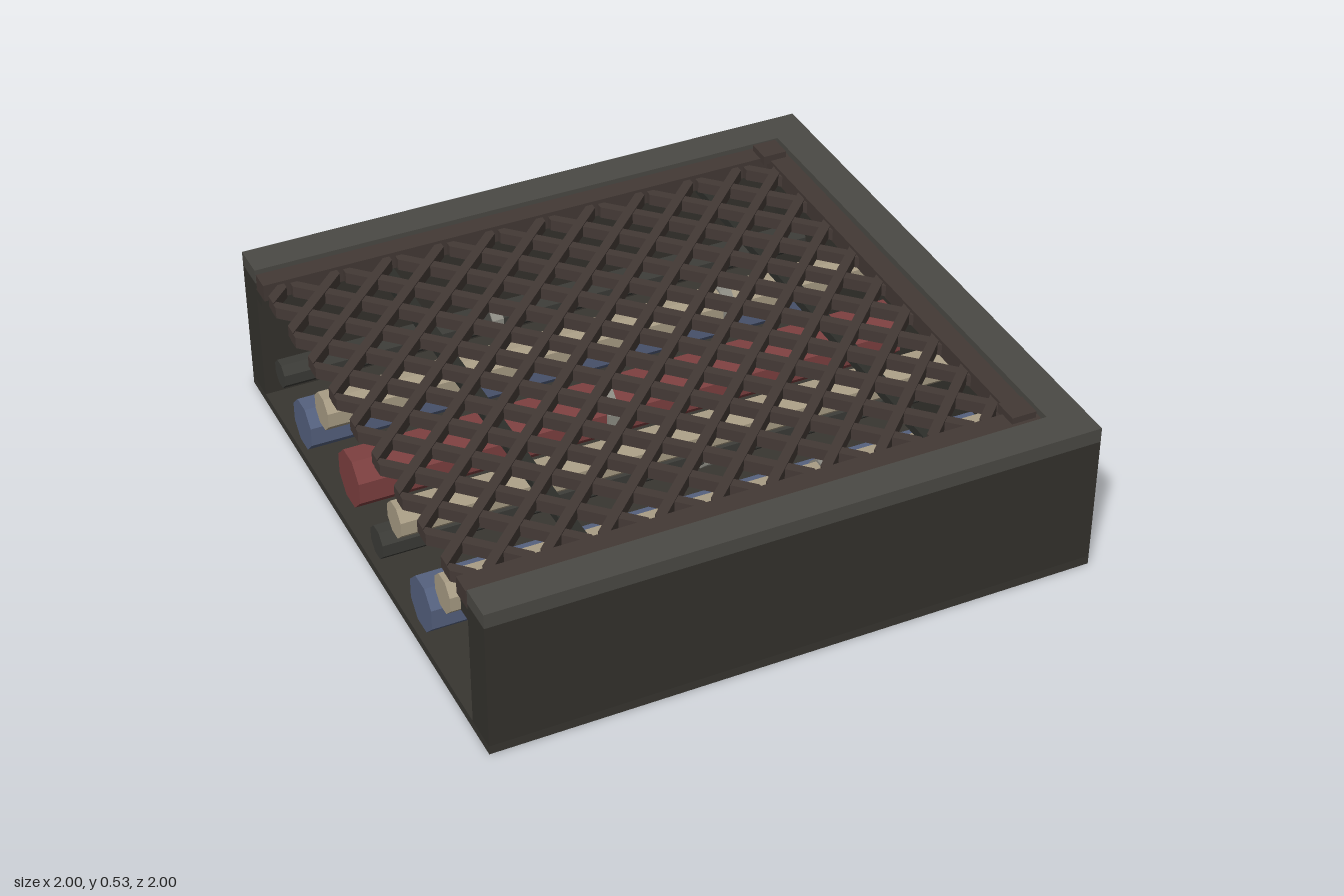
import * as THREE from 'three';

const mat = (color) => new THREE.MeshStandardMaterial({ color, flatShading: true });

export function createModel() {
  const root = new THREE.Group();
  const wall = mat(0x34322d), rim = mat(0x4b4a45), floor = mat(0x383631), iron = mat(0x433935);
  const beam = mat(0x2d2e2a), steel = mat(0x8d8c84);
  const cream = mat(0xa99d85), blue = mat(0x55617f), red = mat(0x7d4040), dark = mat(0x3b3b37);

  // Box given by its lower and upper corners
  const box = (name, m, [x0, y0, z0], [x1, y1, z1]) => {
    const mesh = new THREE.Mesh(new THREE.BoxGeometry(x1 - x0, y1 - y0, z1 - z0), m);
    mesh.position.set((x0 + x1) / 2, (y0 + y1) / 2, (z0 + z1) / 2);
    mesh.name = name;
    root.add(mesh);
  };

  // U-shaped border, open towards -x, extruded upwards
  const border = (name, m, out, inn, y0, y1) => {
    const s = new THREE.Shape([
      [-1, -out], [out, -out], [out, out], [-1, out],
      [-1, inn], [inn, inn], [inn, -inn], [-1, -inn],
    ].map(([x, y]) => new THREE.Vector2(x, y)));
    const g = new THREE.ExtrudeGeometry(s, { depth: y1 - y0, bevelEnabled: false });
    g.rotateX(-Math.PI / 2).translate(0, y0, 0);
    const mesh = new THREE.Mesh(g, m);
    mesh.name = name;
    root.add(mesh);
  };

  // Trench
  box('floor', floor, [-1, 0, -1], [1, 0.03, 1]);
  border('walls', wall, 1, 0.88, 0.03, 0.47);
  border('rim', rim, 1, 0.88, 0.47, 0.52);
  border('grateLedge', wall, 0.88, 0.83, 0.41, 0.45);

  // Grate frame, corner plates and support beams
  border('grateFrame', iron, 0.87, 0.8, 0.45, 0.51);
  for (const s of [-1, 1]) {
    const z = 0.815 * s;
    box('cornerPlate', iron, [0.775, 0.5, z - 0.042], [0.858, 0.532, z + 0.042]);
  }
  for (const x of [-0.58, 0.57]) box('supportBeam', beam, [x - 0.023, 0.42, -0.85], [x + 0.023, 0.45, 0.85]);

  // Diagonal lattice, clipped to the grate opening
  const lattice = new THREE.Group();
  lattice.name = 'lattice';
  const pitch = 0.18, h = 0.023, X0 = -1, X1 = 0.81, Z = 0.8;
  for (const dir of [1, -1]) {
    for (let i = -11; i <= 10; i++) {
      const c = 0.07 + i * pitch;
      const a = Math.max(X0, c - Z), b = Math.min(X1, c + Z);
      if (b - a < 0.03) continue;
      const za = dir * (a - c), zb = dir * (b - c);
      const s = new THREE.Shape([
        new THREE.Vector2(a, za - h), new THREE.Vector2(b, zb - h),
        new THREE.Vector2(b, zb + h), new THREE.Vector2(a, za + h),
      ]);
      const g = new THREE.ExtrudeGeometry(s, { depth: 0.04, bevelEnabled: false });
      g.rotateX(-Math.PI / 2).translate(0, dir > 0 ? 0.46 : 0.456, 0);
      const bar = new THREE.Mesh(g, iron);
      bar.name = 'latticeBar';
      lattice.add(bar);
    }
  }
  root.add(lattice);

  // Eight-sided pipes along x, most with a steel collar
  const tube = (name, m, r, x0, x1, y, z) => {
    const g = new THREE.CylinderGeometry(r, r, x1 - x0, 8);
    g.rotateY(Math.PI / 8).rotateZ(Math.PI / 2);
    const mesh = new THREE.Mesh(g, m);
    mesh.position.set((x0 + x1) / 2, y, z);
    mesh.name = name;
    root.add(mesh);
  };
  // material, radius, y, z, collar x
  const pipes = [
    [dark, 0.048, 0.23, -0.7, -0.26],
    [blue, 0.085, 0.16, -0.505, null],
    [cream, 0.063, 0.35, -0.3, 0.38],
    [red, 0.095, 0.24, -0.08, -0.15],
    [dark, 0.055, 0.15, 0.14, 0.1],
    [cream, 0.06, 0.36, 0.31, null],
    [blue, 0.09, 0.18, 0.5, -0.35],
    [cream, 0.063, 0.36, 0.685, 0.24],
  ];
  for (const [m, r, y, z, cx] of pipes) {
    tube('pipe', m, r, -1, 0.89, y, z);
    if (cx !== null) tube('pipeCollar', steel, r * 1.15, cx - 0.02, cx + 0.02, y, z);
  }
  return root;
}
